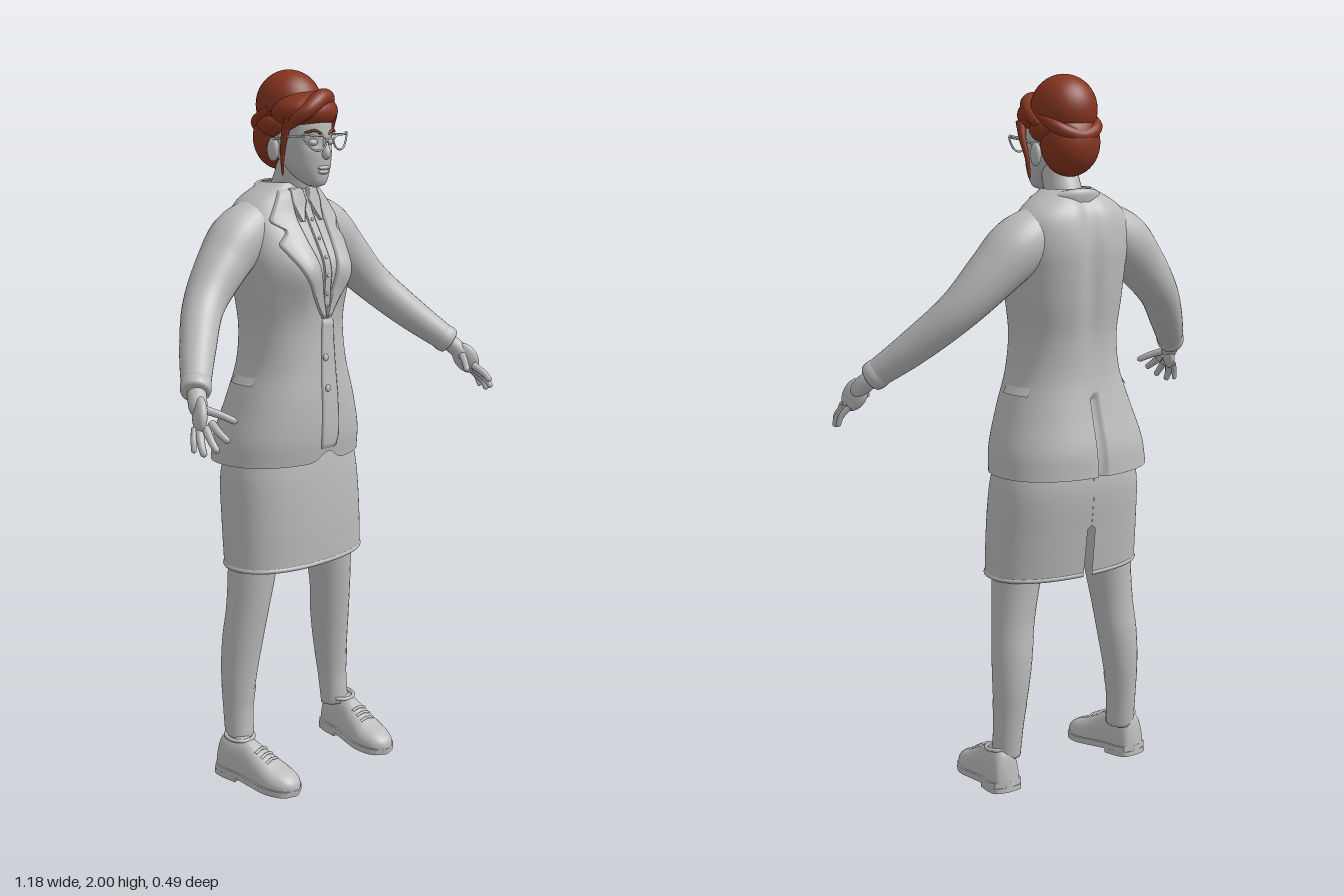
import * as THREE from 'three';
import { mergeVertices } from 'three/addons/utils/BufferGeometryUtils.js';

const material = (name, color) => {
  const m = new THREE.MeshStandardMaterial({ color, side: THREE.DoubleSide });
  m.name = name;
  return m;
};

// Smooth interpolation of rows [key, a, b, ...] with ascending keys
function sample(rows, k) {
  let i = 0;
  while (i < rows.length - 2 && k > rows[i + 1][0]) i++;
  const p = rows[i], q = rows[i + 1], o = rows[i - 1] || p, r = rows[i + 2] || q;
  const d = q[0] - p[0], s = THREE.MathUtils.clamp((k - p[0]) / d, 0, 1);
  return p.slice(1).map((_, j) => {
    const c = j + 1;
    const m0 = (q[c] - o[c]) / (q[0] - o[0]) * d, m1 = (r[c] - p[c]) / (r[0] - p[0]) * d;
    const s2 = s * s, s3 = s2 * s;
    return (2 * s3 - 3 * s2 + 1) * p[c] + (s3 - 2 * s2 + s) * m0 + (3 * s2 - 2 * s3) * q[c] + (s3 - s2) * m1;
  });
}

// Grid surface from fn(u, v) -> [x, y, z]
function surface(nu, nv, fn) {
  const pos = [], idx = [], w = nu + 1;
  for (let j = 0; j <= nv; j++) for (let i = 0; i <= nu; i++) pos.push(...fn(i / nu, j / nv));
  for (let j = 0; j < nv; j++) for (let i = 0; i < nu; i++) {
    const a = j * w + i;
    idx.push(a, a + w, a + 1, a + 1, a + w, a + w + 1);
  }
  let g = new THREE.BufferGeometry();
  g.setAttribute('position', new THREE.Float32BufferAttribute(pos, 3));
  g.setIndex(idx);
  g = mergeVertices(g, 1e-5);
  g.computeVertexNormals();
  return g;
}

// Limb along points [x, y, z, radius] with a rounded end
function limb(pts, round = 0.1, nv = 28, nu = 18) {
  const curve = new THREE.CatmullRomCurve3(pts.map(p => new THREE.Vector3(p[0], p[1], p[2])));
  const f = curve.computeFrenetFrames(nv), radii = pts.map((p, i) => [i / (pts.length - 1), p[3]]);
  return surface(nu, nv, (u, v) => {
    const j = Math.round(v * nv), c = curve.getPointAt(v), t = u * 2 * Math.PI;
    const e = Math.max(0, (v - 1 + round) / round);
    const r = sample(radii, curve.getUtoTmapping(v))[0] * Math.sqrt(Math.max(0, 1 - e * e));
    return c.addScaledVector(f.normals[j], r * Math.cos(t)).addScaledVector(f.binormals[j], -r * Math.sin(t)).toArray();
  });
}
const tube = (pts, r, closed = false, n = 32) =>
  new THREE.TubeGeometry(new THREE.CatmullRomCurve3(pts.map(p => new THREE.Vector3(...p)), closed), n, r, 8, closed);
const ball = (x, y, z, rx, ry, rz) => new THREE.SphereGeometry(1, 32, 22).scale(rx, ry, rz).translate(x, y, z);

// Horizontal section: rows are [y, halfWidth, frontZ, backZ]
const sgnPow = (c, n) => Math.sign(c) * Math.abs(c) ** (2 / n);
function ring(rows, y, t, n = 2.2, off = 0) {
  const [a, zf, zb] = sample(rows, y);
  return [(a + off) * sgnPow(Math.cos(t), n), y, (zf + zb) / 2 + ((zf - zb) / 2 + off) * sgnPow(Math.sin(t), n)];
}

const JACKET = [[0.93, 0.235, 0.085, -0.25], [1.0, 0.227, 0.094, -0.243], [1.1, 0.195, 0.093, -0.217],
  [1.2, 0.162, 0.083, -0.195], [1.3, 0.152, 0.075, -0.19], [1.4, 0.163, 0.075, -0.2], [1.48, 0.172, 0.075, -0.205],
  [1.55, 0.178, 0.045, -0.205], [1.62, 0.168, 0.008, -0.193], [1.66, 0.135, -0.005, -0.175], [1.7, 0.07, -0.015, -0.135]];
const SKIRT = [[0.63, 0.236, 0.083, -0.18], [0.75, 0.233, 0.085, -0.195], [0.88, 0.225, 0.08, -0.208], [0.97, 0.205, 0.07, -0.2]];
const HEAD = [[1.688, 0.004, 0.045, 0.035], [1.695, 0.026, 0.06, 0.015], [1.71, 0.041, 0.066, -0.015], [1.74, 0.058, 0.07, -0.05],
  [1.78, 0.069, 0.073, -0.09], [1.83, 0.076, 0.072, -0.11], [1.88, 0.076, 0.065, -0.12], [1.93, 0.055, 0.03, -0.1]];
const SHOE = [[-0.125, 0, 0], [-0.119, 0.03, 0.075], [-0.09, 0.043, 0.097], [-0.03, 0.043, 0.095], [0.02, 0.05, 0.075],
  [0.08, 0.056, 0.05], [0.125, 0.043, 0.036], [0.146, 0.022, 0.02], [0.153, 0, 0]];

const gauss = d => Math.exp(-d * d);
const bust = (x, y) => 0.024 * gauss((Math.abs(x) - 0.08) / 0.05) * gauss((y - 1.45) / 0.075);
function jacketFront(x, y) {
  const [a, zf, zb] = sample(JACKET, y);
  return (zf + zb) / 2 + (zf - zb) / 2 * Math.max(0, 1 - Math.abs(x / a) ** 2.2) ** (1 / 2.2) + bust(x, y);
}
// Raised cloth panel on the jacket front; rows [y, x0, x1] from top to bottom
function panel(rows, lift) {
  const r = rows.map(q => [-q[0], q[1], q[2]]);
  const y0 = rows[0][0], y1 = rows[rows.length - 1][0];
  return surface(12, 40, (u, v) => {
    const y = y0 + (y1 - y0) * v;
    let i = 0;
    while (i < r.length - 2 && -y > r[i + 1][0]) i++;
    const s = (-y - r[i][0]) / (r[i + 1][0] - r[i][0]);
    const a = r[i][1] + (r[i + 1][1] - r[i][1]) * s, b = r[i][2] + (r[i + 1][2] - r[i][2]) * s;
    const k = THREE.MathUtils.clamp((u - 1 / 12) * 1.2, 0, 1), x = a + (b - a) * k;
    const edge = u === 0 || u === 1 || v === 0 || v === 1;
    return [x, y, jacketFront(x, y) + (edge ? -0.002 : lift)];
  });
}

export function createModel() {
  const model = new THREE.Group();
  const grey = material('plainGrey', 0xbcbcbc), red = material('auburnHair', 0x86341f);
  const add = (name, geo, mat = grey, parent = model) => {
    const m = new THREE.Mesh(geo, mat);
    m.name = name;
    parent.add(m);
    return m;
  };
  const TAU = Math.PI * 2;

  // Jacket body with rounded front hem and rear vent
  add('jacket', surface(144, 70, (u, v) => {
    const t = u * TAU, front = Math.sin(t) > 0;
    const x0 = ring(JACKET, 0.93, t)[0];
    const hem = 0.93 + (front ? 0.03 * gauss(x0 / 0.035) : 0);
    const p = ring(JACKET, hem + (1.7 - hem) * v, t);
    if (front) p[2] += bust(p[0], p[1]);
    else {
      p[2] += 0.012 * gauss(p[0] / 0.03) * THREE.MathUtils.smoothstep(p[1], 1.2, 1.45);
      if (p[1] < 1.14) p[2] += 0.02 * gauss(p[0] / 0.008);
    }
    return p;
  }));
  add('frontOverlap', panel([[1.33, -0.012, 0.03], [1.15, -0.028, 0.03], [1.0, -0.033, 0.03], [0.965, -0.03, 0.02]], 0.005));
  for (const y of [1.14, 1.225]) add('jacketButton', ball(-0.01, y, jacketFront(-0.01, y) + 0.006, 0.01, 0.01, 0.005));

  // Shirt placket and its buttons
  add('shirtPlacket', panel([[1.665, -0.014, 0.014], [1.36, -0.012, 0.012]], 0.006));
  for (let i = 0; i < 5; i++) {
    const y = 1.6 - i * 0.05;
    add('shirtButton', ball(0, y, jacketFront(0, y) + 0.007, 0.005, 0.005, 0.003));
  }
  // Collar roll behind the neck
  add('jacketCollar', surface(48, 10, (u, v) => {
    const t = Math.PI * (0.93 + 1.14 * u), back = Math.max(0, -Math.sin(t));
    const s = v * Math.PI, y = 1.672 + 0.03 * back * (1 - 0.5 * v) - 0.02 * v + 0.012 * Math.sin(s);
    const k = 0.012 * Math.sin(s) + 0.025 * v;
    return [(0.066 + k) * Math.cos(t), y, -0.072 + (0.064 + k) * Math.sin(t)];
  }));

  // Skirt, open below, with a rear slit
  add('skirt', surface(120, 36, (u, v) => {
    const y = 0.63 + 0.34 * v, gap = y < 0.775 ? 0.035 + 0.04 * (0.775 - y) : 0.0005;
    return ring(SKIRT, y, -Math.PI / 2 + gap + u * (TAU - 2 * gap), 2.3);
  }));
  add('skirtHem', surface(120, 4, (u, v) =>
    ring(SKIRT, 0.63 + 0.012 * v, -Math.PI / 2 + 0.045 + u * (TAU - 0.09), 2.3, 0.003 * Math.sin(Math.PI * v))));

  // Mirrored parts
  for (const side of [1, -1]) {
    const half = new THREE.Group();
    half.name = side > 0 ? 'leftSide' : 'rightSide';
    half.scale.x = side;
    model.add(half);
    const put = (name, geo, mat = grey) => add(name, geo, mat, half);

    put('lapel', panel([[1.685, 0.05, 0.075], [1.6, 0.055, 0.132], [1.575, 0.052, 0.095], [1.54, 0.048, 0.128],
      [1.45, 0.03, 0.085], [1.33, 0.0, 0.012]], 0.009));
    put('shirtCollar', panel([[1.685, 0.012, 0.05], [1.65, 0.006, 0.054], [1.595, 0.034, 0.04]], 0.012));
    put('pocketFlap', surface(12, 4, (u, v) => ring(JACKET, 1.15 + 0.022 * v, -0.45 + 0.6 * u, 2.2, 0.006 * (1 - v))));

    // Sleeve and cuff
    put('sleeve', limb([[0.09, 1.6, -0.09, 0.068], [0.17, 1.552, -0.09, 0.08], [0.24, 1.488, -0.082, 0.072],
      [0.335, 1.392, -0.055, 0.057], [0.43, 1.292, 0.02, 0.048], [0.513, 1.208, 0.1, 0.037]], 0.02, 40, 28));
    put('cuff', limb([[0.493, 1.228, 0.08, 0.038], [0.507, 1.214, 0.094, 0.041], [0.52, 1.201, 0.107, 0.036]], 0.15, 12));

    // Hand
    put('wrist', limb([[0.5, 1.22, 0.088, 0.024], [0.528, 1.185, 0.122, 0.025], [0.545, 1.15, 0.15, 0.022]], 0.3, 14));
    const palm = put('palm', ball(0, 0, 0, 0.018, 0.05, 0.036));
    palm.position.set(0.542, 1.157, 0.145);
    palm.rotation.set(-0.62, 0.35, 0.4);
    const fingers = [[[0.535, 1.14, 0.18], [0.54, 1.12, 0.215], [0.535, 1.1, 0.245]],
      [[0.548, 1.128, 0.173], [0.56, 1.1, 0.207], [0.56, 1.075, 0.23]],
      [[0.557, 1.122, 0.16], [0.575, 1.09, 0.185], [0.578, 1.062, 0.2]],
      [[0.56, 1.125, 0.145], [0.578, 1.098, 0.16], [0.585, 1.068, 0.168]],
      [[0.53, 1.17, 0.14], [0.5, 1.155, 0.175], [0.47, 1.135, 0.208]]];
    fingers.forEach((f, i) => put(i < 4 ? 'finger' : 'thumb',
      limb(f.map((p, j) => [...p, (i === 3 ? 0.0095 : 0.0115) - 0.0015 * j]), 0.12, 16, 10)));

    // Leg and sock
    put('leg', limb([[0.14, 0.8, -0.06, 0.08], [0.158, 0.63, -0.058, 0.07], [0.174, 0.5, -0.064, 0.061], [0.185, 0.4, -0.075, 0.058],
      [0.194, 0.3, -0.08, 0.051], [0.2, 0.2, -0.077, 0.041], [0.203, 0.1, -0.07, 0.038]], 0.02, 40, 28));
    put('sock', limb([[0.196, 0.27, -0.079, 0.0495], [0.2, 0.2, -0.077, 0.0435], [0.203, 0.1, -0.068, 0.041]], 0.02, 16, 28));

    // Shoe
    const shoe = new THREE.Group();
    shoe.name = 'shoe';
    shoe.position.set(0.212, 0.017, 0);
    shoe.rotation.set(0.1, -0.12, 0);
    half.add(shoe);
    add('shoeUpper', surface(24, 40, (u, v) => {
      const z = 0.153 - 0.278 * (1 - Math.cos(Math.PI * v)) / 2, [w, h] = sample(SHOE, z), t = u * Math.PI;
      return [w * sgnPow(Math.cos(t), 2.4), 0.016 + h * sgnPow(Math.sin(t), 2.4), z];
    }), grey, shoe);
    const soleShape = zMax => {
      const pts = [];
      for (let i = 0; i <= 24; i++) {
        const z = -0.125 + (zMax + 0.125) * i / 24;
        pts.push(new THREE.Vector2(sample(SHOE, z)[0] + 0.005, -z));
      }
      return new THREE.Shape([...pts, ...pts.map(p => new THREE.Vector2(-p.x, p.y)).reverse()]);
    };
    const slab = (zMax, depth, y) =>
      new THREE.ExtrudeGeometry(soleShape(zMax), { depth, bevelEnabled: false }).rotateX(-Math.PI / 2).translate(0, y, 0);
    add('sole', slab(0.153, 0.018, 0), grey, shoe);
    add('heel', slab(-0.035, 0.014, -0.012), grey, shoe);
    for (const z of [0.015, 0.035, 0.055]) {
      const y = 0.018 + sample(SHOE, z)[1];
      add('lace', tube([[-0.025, y - 0.006, z], [0, y + 0.001, z], [0.025, y - 0.006, z]], 0.004, false, 8), grey, shoe);
    }
    add('shoeOpening', new THREE.TorusGeometry(0.04, 0.006, 8, 28).rotateX(Math.PI / 2).translate(-0.005, 0.108, -0.068), grey, shoe);

    // Face, ear and glasses
    put('eye', ball(0.033, 1.81, 0.058, 0.015, 0.009, 0.011));
    put('brow', tube([[0.014, 1.832, 0.073], [0.035, 1.842, 0.068], [0.058, 1.836, 0.053]], 0.0035, false, 12), red);
    put('ear', ball(0.08, 1.79, -0.045, 0.012, 0.032, 0.02));
    put('glassesRim', tube([[0.014, 1.817, 0.09], [0.025, 1.795, 0.09], [0.048, 1.79, 0.087], [0.07, 1.802, 0.08],
      [0.087, 1.833, 0.072], [0.055, 1.829, 0.086], [0.028, 1.828, 0.09]], 0.0028, true, 48));
    put('glassesTemple', tube([[0.084, 1.829, 0.073], [0.085, 1.825, 0.01], [0.084, 1.815, -0.05]], 0.0028));
    put('sideStrand', limb([[0.084, 1.875, 0.02, 0.014], [0.088, 1.83, 0.006, 0.01], [0.082, 1.775, -0.008, 0.006],
      [0.077, 1.72, -0.012, 0.003]]), red);
  }

  // Neck and head
  add('neck', limb([[0, 1.6, -0.085, 0.06], [0, 1.67, -0.068, 0.052], [0, 1.73, -0.045, 0.05], [0, 1.79, -0.035, 0.05]], 0.1, 20, 28));
  add('head', surface(48, 36, (u, v) => {
    const p = ring(HEAD, 1.688 + 0.242 * v, u * TAU, 2.15);
    if (Math.sin(u * TAU) > 0) p[2] -= 0.009 * gauss((Math.abs(p[0]) - 0.034) / 0.016) * gauss((p[1] - 1.81) / 0.016);
    return p;
  }));
  add('nose', limb([[0, 1.825, 0.068, 0.007], [0, 1.8, 0.074, 0.009], [0, 1.778, 0.077, 0.013], [0, 1.765, 0.07, 0.009]], 0.2, 16, 14));
  add('upperLip', ball(0, 1.742, 0.068, 0.023, 0.006, 0.009));
  add('lowerLip', ball(0, 1.731, 0.066, 0.019, 0.007, 0.009));
  add('glassesBridge', tube([[-0.015, 1.817, 0.09], [0, 1.821, 0.093], [0.015, 1.817, 0.09]], 0.0028, false, 8));

  // Pinned-up hair: crown bun, swept fringe, nape and rolls
  add('hairBun', ball(0, 1.907, -0.062, 0.09, 0.093, 0.092), red);
  add('hairFringe', ball(0, 1.89, -0.006, 0.097, 0.056, 0.088), red);
  add('hairNape', ball(0, 1.82, -0.092, 0.086, 0.09, 0.07), red);
  add('hairSides', ball(0, 1.855, -0.06, 0.096, 0.05, 0.085), red);
  add('hairRoll', limb([[-0.088, 1.85, 0.01, 0.012], [-0.06, 1.89, 0.055, 0.02], [0.0, 1.925, 0.056, 0.024],
    [0.055, 1.92, 0.024, 0.024], [0.082, 1.89, -0.03, 0.018], [0.08, 1.86, -0.08, 0.012]]), red);
  add('hairBackRoll', limb([[-0.085, 1.9, -0.05, 0.01], [-0.06, 1.86, -0.125, 0.018], [0, 1.84, -0.143, 0.019],
    [0.06, 1.86, -0.125, 0.018], [0.085, 1.9, -0.05, 0.01]]), red);
  return model;
}
